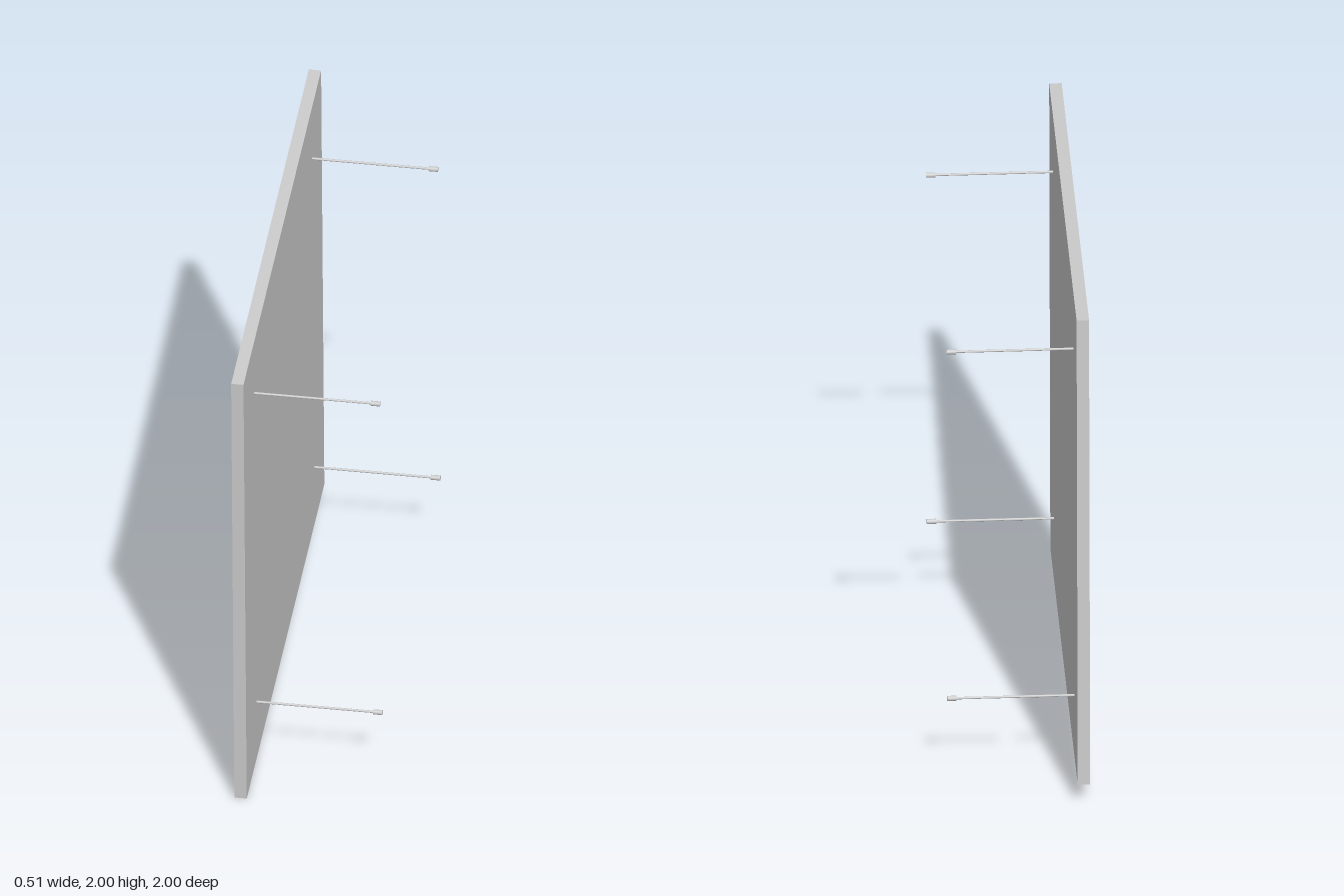
import * as THREE from 'three';

export function createModel() {
  const model = new THREE.Group();
  const material = new THREE.MeshStandardMaterial({ color: 0xcccccc });

  // everything shares the slight tilt about x
  const board = new THREE.Group();
  board.name = 'tiltedBoard';
  board.position.y = 1;
  board.rotation.x = 0.0416;
  model.add(board);

  // square panel
  const panel = new THREE.Mesh(new THREE.BoxGeometry(0.046, 1.922, 1.922), material);
  panel.name = 'panel';
  panel.position.x = -0.235;
  board.add(panel);

  // cylinder lying along x between two positions
  const rod = (name, radius, x0, x1, sides) => {
    const geometry = new THREE.CylinderGeometry(radius, radius, x1 - x0, sides);
    geometry.rotateZ(-Math.PI / 2);
    geometry.translate((x0 + x1) / 2, 0, 0);
    const mesh = new THREE.Mesh(geometry, material);
    mesh.name = name;
    return mesh;
  };

  // four thin legs with thicker end caps
  for (const sy of [1, -1]) {
    for (const sz of [1, -1]) {
      const leg = new THREE.Group();
      leg.name = (sy > 0 ? 'upper' : 'lower') + (sz > 0 ? 'Front' : 'Back') + 'Leg';
      leg.add(rod('shaft', 0.0045, -0.22, 0.225, 16), rod('endCap', 0.0095, 0.222, 0.257, 16));
      leg.position.set(0, 0.01 + sy * 0.717, -0.014 + sz * 0.717);
      board.add(leg);
    }
  }
  return model;
}
